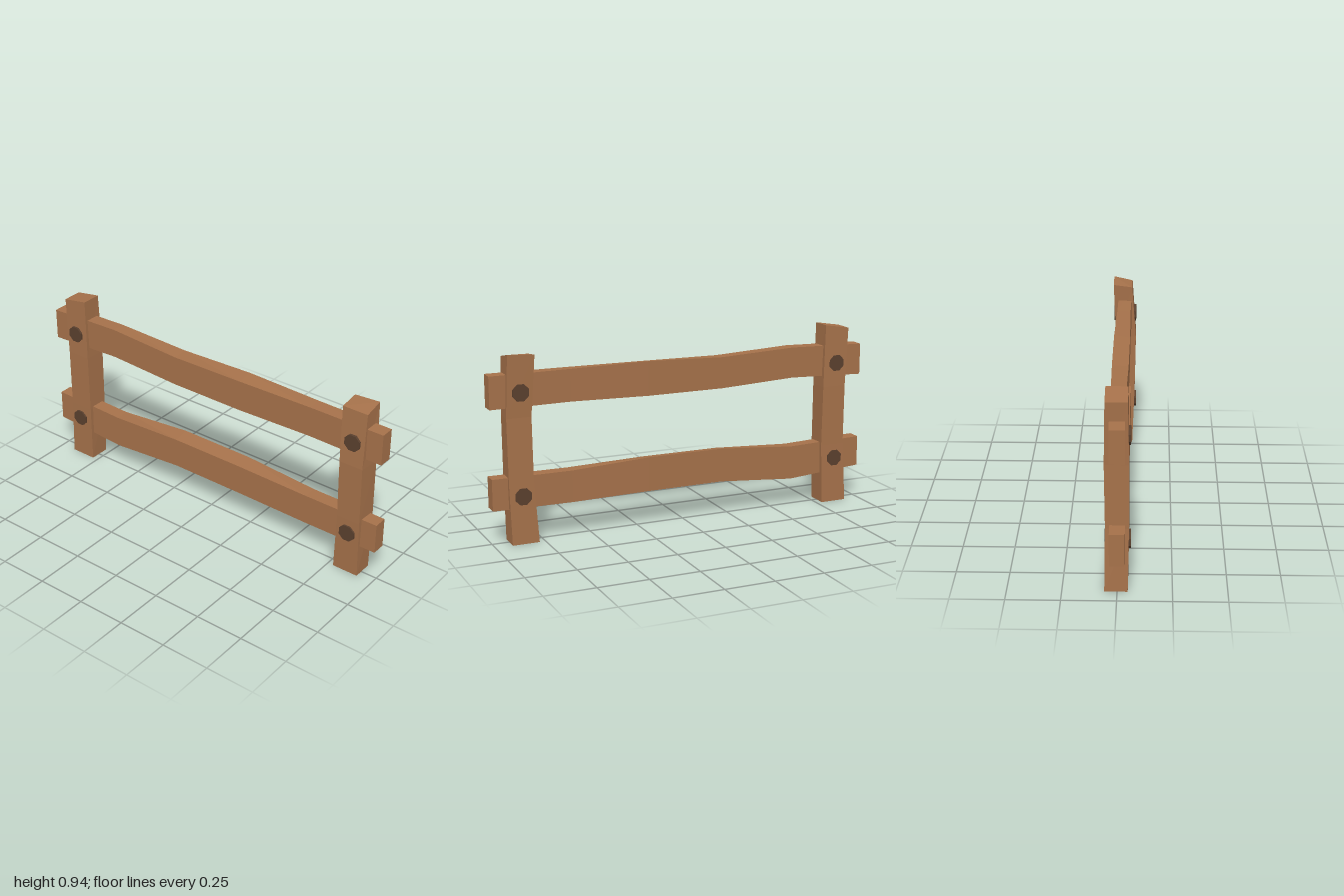
import * as THREE from 'three';

const wood = new THREE.MeshStandardMaterial({ color: 0xa5714a });
wood.name = 'wood';
const darkWood = new THREE.MeshStandardMaterial({ color: 0x5a402e });
darkWood.name = 'darkWood';

// Skin a list of four-cornered rings into a closed, flat-shaded beam.
// Corners run counterclockwise as seen from the far end of the beam.
function beam(name, rings) {
  const pos = [];
  const quad = (a, b, c, d) => pos.push(...a, ...b, ...c, ...a, ...c, ...d);
  for (let i = 0; i < rings.length - 1; i++) {
    const r = rings[i], s = rings[i + 1];
    for (let k = 0; k < 4; k++) {
      const n = (k + 1) % 4;
      quad(r[k], r[n], s[n], s[k]);
    }
  }
  const first = rings[0], last = rings[rings.length - 1];
  quad(first[3], first[2], first[1], first[0]);
  quad(last[0], last[1], last[2], last[3]);
  const geometry = new THREE.BufferGeometry();
  geometry.setAttribute('position', new THREE.Float32BufferAttribute(pos, 3));
  geometry.computeVertexNormals();
  const mesh = new THREE.Mesh(geometry, wood);
  mesh.name = name;
  return mesh;
}

// Post section: left x, right x, front z, back z, back shift in x,
// and heights of the front left, front right, back right and back left corners.
function post(name, sections) {
  return beam(name, sections.map(([x0, x1, zf, zb, shift, fl, fr = fl, br = fl, bl = fl]) => [
    [x0, fl, zf], [x1, fr, zf], [x1 + shift, br, zb], [x0 + shift, bl, zb],
  ]));
}

// Rail section: x, bottom, front top, back top, front z, back z.
function rail(name, sections) {
  return beam(name, sections.map(([x, y0, yf, yb, zf, zb]) => [
    [x, y0, zf], [x, y0, zb], [x, yb, zb], [x, yf, zf],
  ]));
}

export function createModel() {
  const fence = new THREE.Group();
  fence.name = 'fence';

  // Slightly bent posts with slanted tops
  fence.add(post('rightPost', [
    [-0.917, -0.78, 0.048, -0.058, 0, 0],
    [-0.903, -0.774, 0.053, -0.054, 0.004, 0.31],
    [-0.903, -0.776, 0.053, -0.058, 0.004, 0.62],
    [-0.915, -0.782, 0.048, -0.053, 0, 0.92, 0.942, 0.942, 0.92],
  ]));
  fence.add(post('leftPost', [
    [0.78, 0.915, 0.042, -0.06, 0, 0],
    [0.793, 0.917, 0.054, -0.053, 0.006, 0.31],
    [0.793, 0.917, 0.06, -0.048, 0.008, 0.62],
    [0.782, 0.915, 0.04, -0.06, 0, 0.905, 0.905, 0.927, 0.918],
  ]));

  // Wavy rails running through the posts
  fence.add(rail('topRail', [
    [-1, 0.667, 0.827, 0.827, 0.036, -0.034],
    [-0.6, 0.682, 0.838, 0.838, 0.034, -0.036],
    [-0.2, 0.664, 0.818, 0.822, 0.038, -0.042],
    [0.2, 0.663, 0.822, 0.835, 0.038, -0.042],
    [0.6, 0.671, 0.826, 0.83, 0.034, -0.036],
    [1, 0.667, 0.827, 0.827, 0.036, -0.034],
  ]));
  fence.add(rail('bottomRail', [
    [-1, 0.174, 0.33, 0.33, 0.036, -0.034],
    [-0.6, 0.145, 0.316, 0.318, 0.034, -0.036],
    [-0.2, 0.18, 0.337, 0.352, 0.038, -0.042],
    [0.2, 0.179, 0.337, 0.352, 0.038, -0.042],
    [0.6, 0.171, 0.328, 0.33, 0.034, -0.036],
    [1, 0.174, 0.33, 0.33, 0.036, -0.034],
  ]));

  // Dark pegs through every joint
  const pegGeometry = new THREE.CylinderGeometry(0.044, 0.044, 0.118, 8).toNonIndexed();
  pegGeometry.rotateY(Math.PI / 8).rotateX(Math.PI / 2);
  pegGeometry.computeVertexNormals();
  for (const [side, x] of [['right', -0.848], ['left', 0.853]]) {
    for (const [level, y] of [['Top', 0.741], ['Bottom', 0.235]]) {
      const peg = new THREE.Mesh(pegGeometry, darkWood);
      peg.name = `${side}${level}Peg`;
      peg.position.set(x, y, 0.002);
      fence.add(peg);
    }
  }
  return fence;
}
